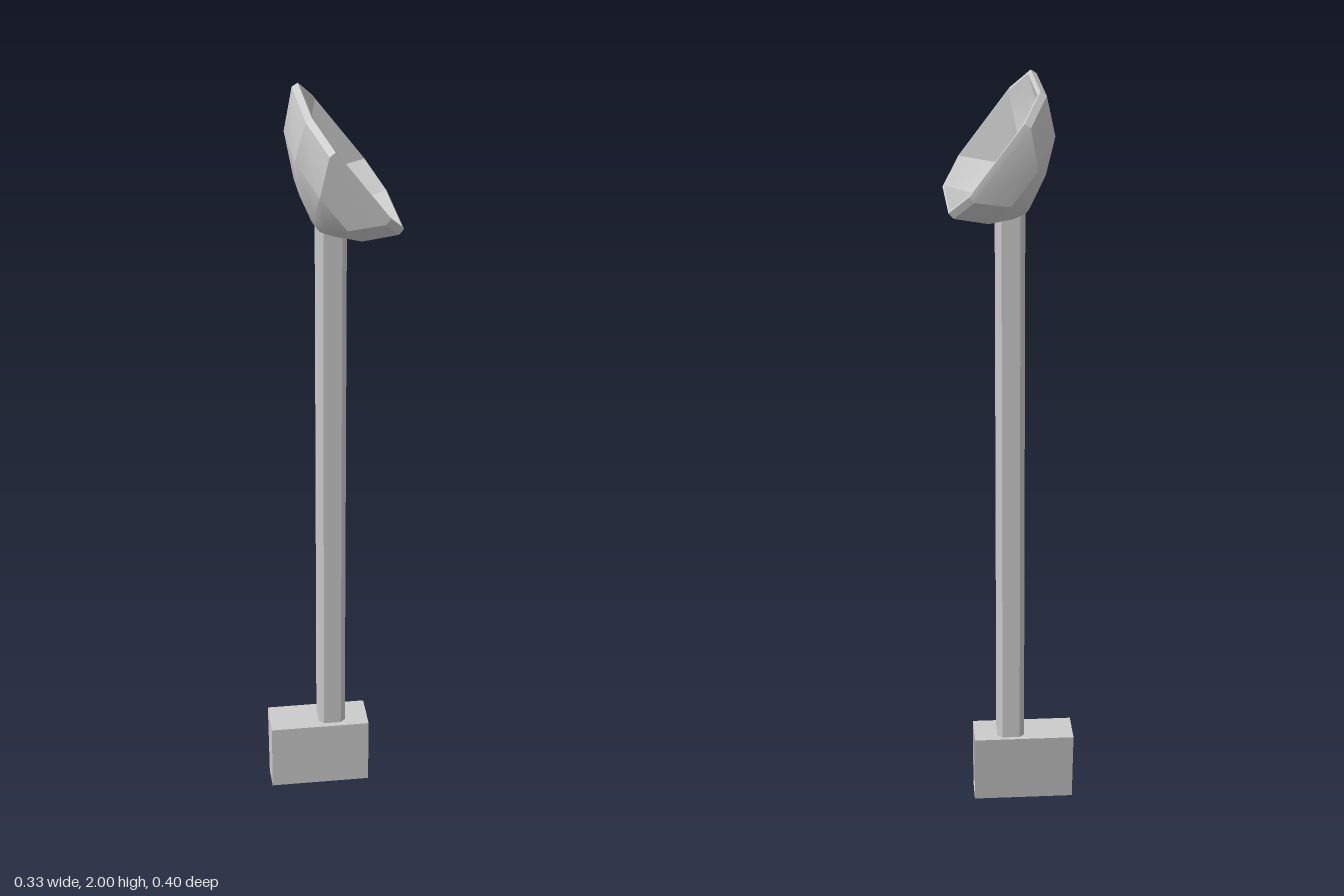
import * as THREE from 'three';
import { toCreasedNormals } from 'three/addons/utils/BufferGeometryUtils.js';

const grey = new THREE.MeshStandardMaterial({ color: 0xcccccc });
const greyFlat = new THREE.MeshStandardMaterial({ color: 0xcccccc, flatShading: true, side: THREE.DoubleSide });

function part(name, geometry, material) {
  const mesh = new THREE.Mesh(geometry, material);
  mesh.name = name;
  return mesh;
}

// Rectangle with cut corners, as eight [x, z] points
function octagon(x0, x1, hz, cut) {
  return [
    [x1, -hz + cut], [x1, hz - cut], [x1 - cut, hz], [x0 + cut, hz],
    [x0, hz - cut], [x0, -hz + cut], [x0 + cut, -hz], [x1 - cut, -hz],
  ];
}

// Skin a list of sections [height, x0, x1, half depth, corner cut]
function loft(sections) {
  const positions = [], index = [];
  sections.forEach(([y, x0, x1, hz, cut], r) => {
    octagon(x0, x1, hz, cut).forEach(([x, z], i) => {
      positions.push(x, y, z);
      if (r === 0) return;
      const j = (i + 1) % 8, a = (r - 1) * 8, b = r * 8;
      index.push(a + i, a + j, b + i, a + j, b + j, b + i);
    });
  });
  const g = new THREE.BufferGeometry();
  g.setAttribute('position', new THREE.Float32BufferAttribute(positions, 3));
  g.setIndex(index);
  return g;
}

export function createModel() {
  const model = new THREE.Group();

  // Base: wedge-shaped hollow box, open at its +x end
  const box = new THREE.BoxGeometry(0.27, 0.2, 0.11);
  const p = box.attributes.position;
  for (let i = 0; i < p.count; i++) {
    const low = p.getY(i) < 0, back = p.getZ(i) < 0;
    p.setXYZ(i, p.getX(i) - 0.035, low ? (back ? 0 : 0.01) : 0.2, back ? (low ? -0.025 : -0.053) : 0.056);
  }
  box.setIndex(Array.from(box.index.array).slice(6));
  model.add(part('base', box, greyFlat));

  // Pole: square post with chamfered corners
  const pole = loft([
    [1.675, 0, 0.002, 0.001, 0.0005],
    [1.675, -0.036, 0.037, 0.041, 0.013],
    [0.2, -0.036, 0.037, 0.041, 0.013],
    [0.2, 0, 0.002, 0.001, 0.0005],
  ]);
  model.add(part('pole', toCreasedNormals(pole, 0.3), grey));

  // Dish: from the inner floor up to the rim, over it and down the outer shell
  const dish = part('dish', toCreasedNormals(loft([
    [-0.15, 0.069, 0.071, 0.001, 0.0005],
    [-0.15, 0.04, 0.09, 0.04, 0.015],
    [-0.13, -0.01, 0.105, 0.09, 0.04],
    [-0.088, -0.105, 0.137, 0.165, 0.08],
    [0, -0.174, 0.178, 0.19, 0.072],
    [0, -0.186, 0.184, 0.198, 0.075],
    [-0.018, -0.187, 0.187, 0.2, 0.075],
    [-0.1, -0.118, 0.152, 0.183, 0.08],
    [-0.151, -0.022, 0.118, 0.1, 0.045],
    [-0.173, 0.06, 0.1, 0.045, 0.015],
    [-0.173, 0.079, 0.081, 0.001, 0.0005],
  ]), 0.55), grey);
  dish.position.set(0.05, 1.855, 0);
  dish.rotation.set(0, 0.02, -0.922);
  model.add(dish);

  return model;
}
